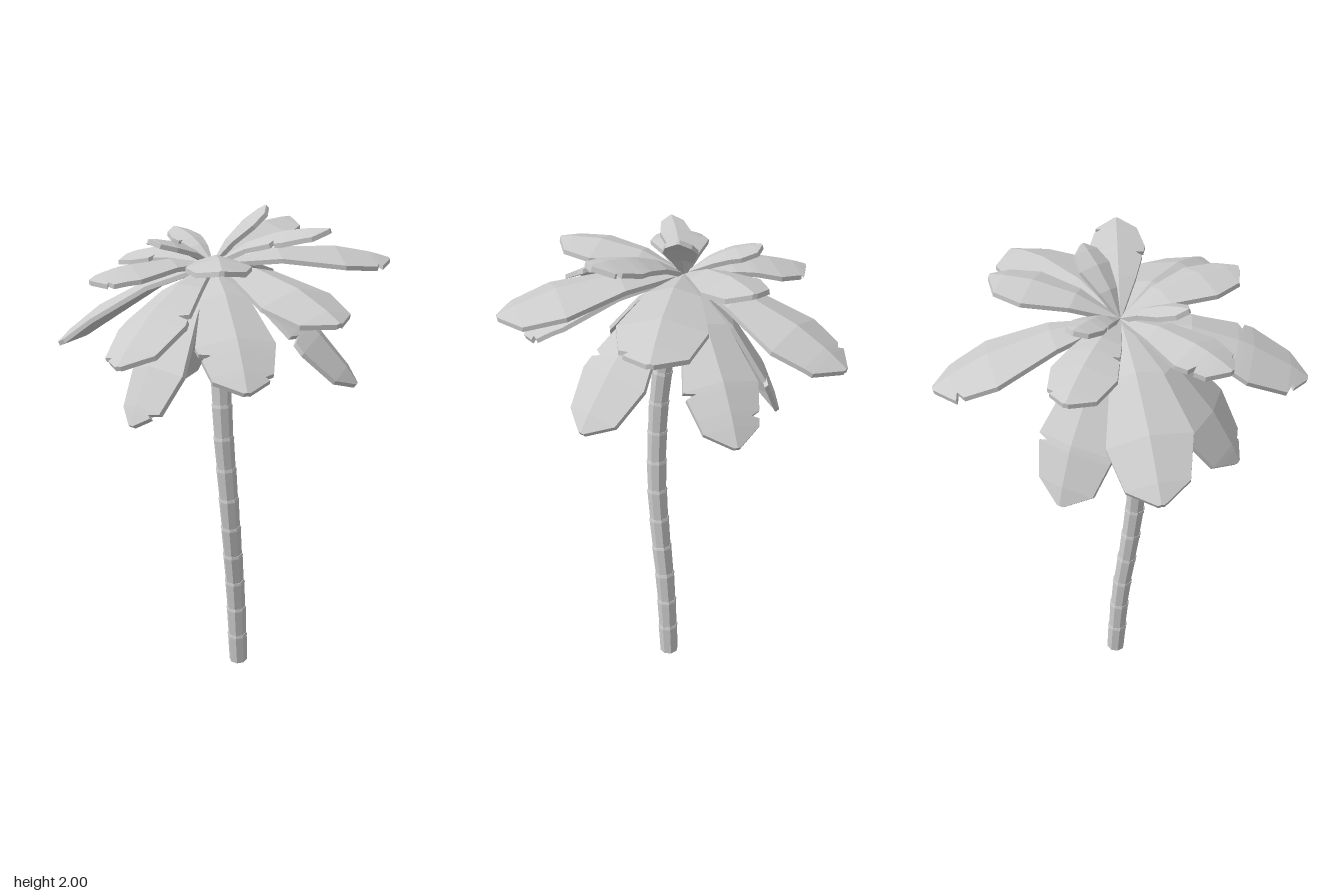
import * as THREE from 'three';

const material = new THREE.MeshStandardMaterial({ color: 0xcccccc, flatShading: true, side: THREE.DoubleSide });
const crown = new THREE.Vector3(-0.106, 1.785, 0.018);
const UP = new THREE.Vector3(0, 1, 0);

// Fronds: tip x, y, z, half width, notch positions on the left and right edge (0 = none), roll
const leaves = [
  // upper tier
  [-0.03, 2.0, -0.18, 0.065, 0, 0, 0],
  [0.295, 1.955, -0.23, 0.105, 0.87, 0.6, 0],
  [-0.23, 1.895, -0.46, 0.122, 0, 0, 0],
  [-0.4, 1.88, 0.0, 0.065, 0.55, 0, 0],
  [-0.12, 1.91, 0.3, 0.06, 0, 0, 0],
  [0.32, 1.87, 0.28, 0.12, 0, 0, 0],
  // middle tier
  [0.615, 1.7, -0.015, 0.165, 0, 0, 0],
  [0.18, 1.77, -0.65, 0.162, 0, 0.9, 0],
  [-0.615, 1.74, 0.1, 0.123, 0.5, 0.9, 0],
  [-0.2, 1.77, 0.515, 0.117, 0.9, 0.8, 0],
  [0.2, 1.56, 0.645, 0.15, 0.62, 0.92, 0.2],
  [-0.575, 1.585, -0.5, 0.16, 0.88, 0, 0],
  // drooping tier
  [0.37, 1.35, -0.335, 0.15, 0, 0.6, 0],
  [-0.155, 1.36, -0.58, 0.145, 0.85, 0.7, 0],
  [-0.5, 1.17, -0.02, 0.155, 0, 0.7, -0.15],
  [-0.59, 1.43, 0.455, 0.155, 0, 0, 0.15],
  [-0.005, 1.24, 0.48, 0.16, 0.92, 0, 0.2],
  [0.485, 1.47, 0.29, 0.15, 0.9, 0.75, 0],
];

// Relative half width along a frond
const outline = [[0, 0.04], [0.35, 0.61], [0.68, 1], [0.9, 0.74], [1, 0.08]];
function widthAt(t) {
  for (let i = 1; i < outline.length; i++) {
    const [a, wa] = outline[i - 1], [b, wb] = outline[i];
    if (t <= b) return wa + (wb - wa) * (t - a) / (b - a);
  }
  return 0;
}

// Thick frond: arched midrib, two sloping halves, optional small cuts in the edge
function leafGeometry([x, y, z, halfWidth, notchL, notchR, roll]) {
  const tip = new THREE.Vector3(x, y, z);
  const chord = tip.clone().sub(crown);
  const side = new THREE.Vector3().crossVectors(UP, chord).normalize();
  const normal = new THREE.Vector3().crossVectors(chord, side).normalize();
  const control = crown.clone().add(tip).multiplyScalar(0.5).addScaledVector(normal, chord.length() * 0.17);
  const rib = new THREE.QuadraticBezierCurve3(crown, control, tip);

  // Positive roll raises the left half
  const axis = chord.clone().normalize();
  side.applyAxisAngle(axis, -roll);
  normal.applyAxisAngle(axis, -roll);
  if (side.y * roll < 0) {
    side.applyAxisAngle(axis, 2 * roll);
    normal.applyAxisAngle(axis, 2 * roll);
  }

  const stations = new Set(outline.map(p => p[0]));
  for (const n of [notchL, notchR]) if (n) [n - 0.025, n, n + 0.015].forEach(t => stations.add(t));
  const ts = [...stations].sort((a, b) => a - b);

  // Each cross-section: left, rib, right on top, then right, rib, left below
  const sections = ts.map(t => {
    const mid = rib.getPoint(t);
    const edge = (sign, notch) => {
      const w = halfWidth * widthAt(t) * (notch && t === notch ? 0.72 : 1);
      return mid.clone().addScaledVector(side, sign * w).addScaledVector(normal, -0.28 * w);
    };
    const top = [edge(1, notchL), mid, edge(-1, notchR)];
    const below = top.map(p => p.clone().addScaledVector(normal, -0.018)).reverse();
    return [...top, ...below];
  });

  const index = [];
  const n = 6;
  for (let i = 0; i < sections.length - 1; i++) {
    for (let j = 0; j < n; j++) {
      const a = i * n + j, b = i * n + (j + 1) % n;
      index.push(a, b, a + n, b, b + n, a + n);
    }
  }
  // End caps
  const e = (sections.length - 1) * n;
  for (let j = 1; j < n - 1; j++) index.push(0, j + 1, j, e, e + j, e + j + 1);

  const geometry = new THREE.BufferGeometry().setFromPoints(sections.flat());
  geometry.setIndex(index);
  const flat = geometry.toNonIndexed();
  flat.computeVertexNormals();
  return flat;
}

// Cylinder stretched between two points
function tube(a, b, rBottom, rTop, name) {
  const dir = b.clone().sub(a);
  const mesh = new THREE.Mesh(new THREE.CylinderGeometry(rTop, rBottom, dir.length(), 8), material);
  mesh.position.copy(a).add(b).multiplyScalar(0.5);
  mesh.quaternion.setFromUnitVectors(UP, dir.normalize());
  mesh.name = name;
  return mesh;
}

export function createModel() {
  const group = new THREE.Group();
  group.name = 'palmTree';

  // Curved trunk of flared segments with a thin ring at each joint
  const path = new THREE.CatmullRomCurve3([
    [-0.035, 0, -0.057], [-0.024, 0.35, -0.033], [-0.008, 0.6, -0.003], [0.002, 0.85, 0.024],
    [-0.006, 1.13, 0.043], [-0.023, 1.35, 0.041], [-0.06, 1.58, 0.03], [-0.1, 1.77, 0.02],
  ].map(p => new THREE.Vector3(...p)));
  const trunk = new THREE.Group();
  trunk.name = 'trunk';
  const count = 13;
  for (let i = 0; i < count; i++) {
    const a = path.getPointAt(i / count), b = path.getPointAt((i + 1) / count);
    trunk.add(tube(a, b, 0.039, 0.042, 'trunkSegment'));
    if (i < count - 1) {
      const t = path.getTangentAt((i + 1) / count).multiplyScalar(0.006);
      trunk.add(tube(b.clone().sub(t), b.clone().add(t), 0.044, 0.041, 'trunkRing'));
    }
  }
  group.add(trunk);

  // Crown of fronds
  const fronds = new THREE.Group();
  fronds.name = 'crown';
  for (const leaf of leaves) {
    const mesh = new THREE.Mesh(leafGeometry(leaf), material);
    mesh.name = 'frond';
    fronds.add(mesh);
  }
  group.add(fronds);
  return group;
}
